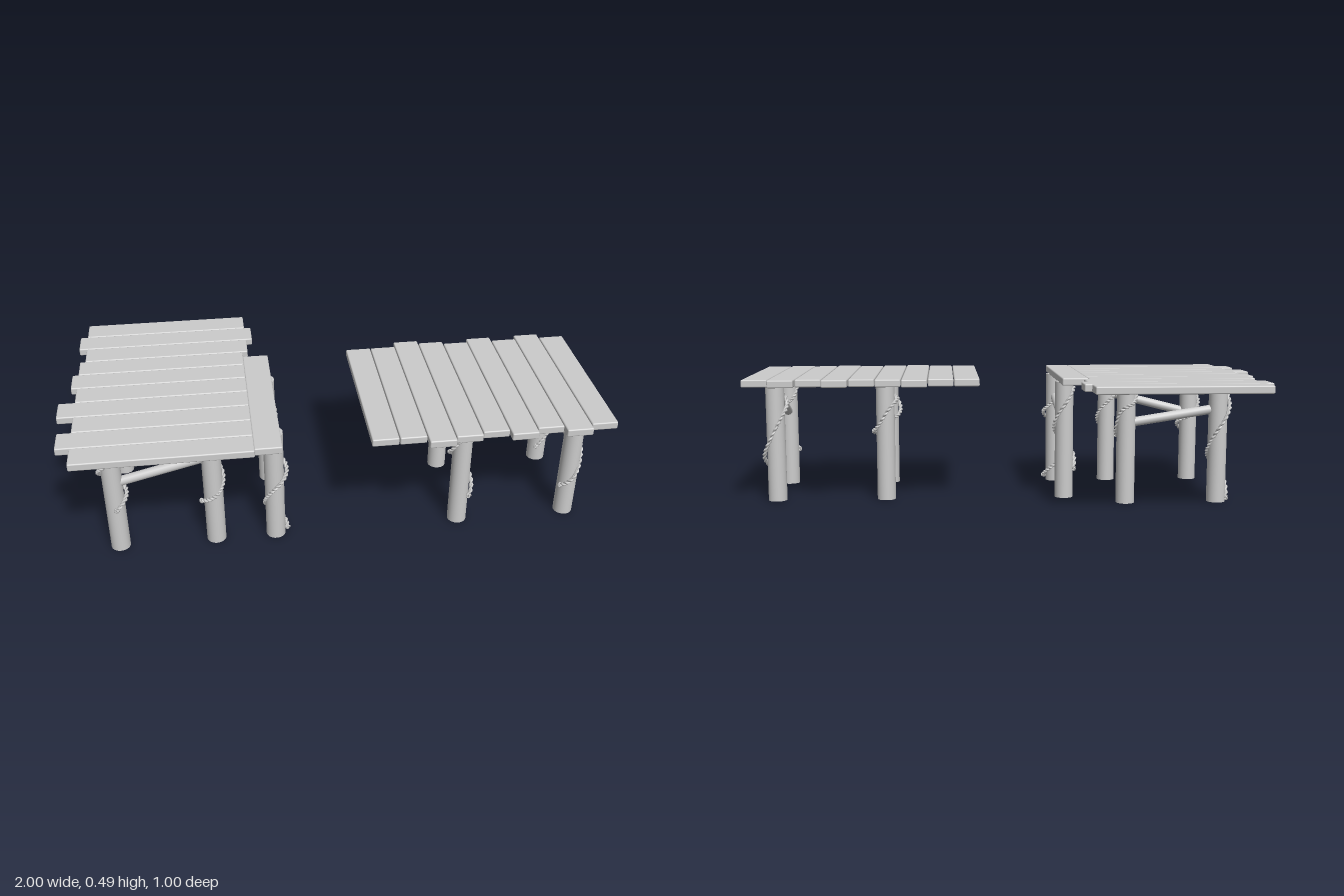
import * as THREE from 'three';
import { RoundedBoxGeometry } from 'three/addons/geometries/RoundedBoxGeometry.js';

const material = new THREE.MeshStandardMaterial({ color: 0xcccccc, roughness: 0.9 });
const DECK_BOTTOM = 0.457, DECK_TOP = 0.486, LEG_RADIUS = 0.036;

function add(parent, name, geometry) {
  const mesh = new THREE.Mesh(geometry, material);
  mesh.name = name;
  parent.add(mesh);
  return mesh;
}

// Softly rounded board covering x0..x1 by z0..z1
function plank(parent, x0, x1, z0, z1) {
  const h = DECK_TOP - DECK_BOTTOM;
  add(parent, 'plank', new RoundedBoxGeometry(x1 - x0, h, z1 - z0, 2, 0.005))
    .position.set((x0 + x1) / 2, DECK_BOTTOM + h / 2, (z0 + z1) / 2);
}

function leg(parent, x, z) {
  const h = DECK_BOTTOM + 0.004;
  add(parent, 'leg', new THREE.CylinderGeometry(LEG_RADIUS, LEG_RADIUS, h, 28)).position.set(x, h / 2, z);
}

// Round pole between two points
function brace(parent, from, to) {
  const a = new THREE.Vector3(...from), b = new THREE.Vector3(...to);
  const mesh = add(parent, 'brace', new THREE.CylinderGeometry(0.018, 0.018, a.distanceTo(b), 16));
  mesh.position.copy(a).add(b).multiplyScalar(0.5);
  mesh.quaternion.setFromUnitVectors(new THREE.Vector3(0, 1, 0), b.sub(a).normalize());
}

// Vine of two twisted strands winding down a leg, from (deg0, y0) to (deg1, y1)
function vine(parent, x, z, deg0, y0, deg1, y1) {
  const group = new THREE.Group();
  group.name = 'vine';
  const centre = t => {
    const a = THREE.MathUtils.degToRad(deg0 + (deg1 - deg0) * t);
    const r = 0.042 + 0.005 * Math.sin(t * 11 + deg0);
    const y = y0 + (y1 - y0) * t + 0.012 * Math.sin(t * 9 + deg1);
    return { a, r, y };
  };
  const twists = Math.round((deg1 - deg0) / 32);
  for (const phase of [0, Math.PI]) {
    const points = [];
    const n = twists * 5;
    for (let i = 0; i <= n; i++) {
      const t = i / n, { a, r, y } = centre(t);
      const w = phase + t * twists * Math.PI * 2;
      const radius = r + 0.0042 * Math.cos(w);
      points.push(new THREE.Vector3(
        x + radius * Math.cos(a), Math.max(0.008, y + 0.0042 * Math.sin(w)), z + radius * Math.sin(a)));
    }
    add(group, 'strand', new THREE.TubeGeometry(new THREE.CatmullRomCurve3(points), n * 2, 0.0048, 6));
  }
  // small knot at the lower end
  const end = centre(1);
  const knot = add(group, 'vineKnot', new THREE.TorusKnotGeometry(0.006, 0.003, 32, 5));
  knot.position.set(x + end.r * Math.cos(end.a), Math.max(0.012, end.y), z + end.r * Math.sin(end.a));
  parent.add(group);
}

export function createModel() {
  const model = new THREE.Group();
  const rightTable = new THREE.Group(), leftTable = new THREE.Group();
  leftTable.name = 'plankTable';
  rightTable.name = 'cornerTable';
  model.add(leftTable, rightTable);

  // Deck with boards running front to back; some overhang at both ends
  [0, 0, 0.035, 0.016, 0, 0.026, 0, 0.028, 0].forEach((over, i) => {
    const x = 0.106 + i * 0.0993;
    plank(leftTable, x, x + 0.0965, -0.172 - over, 0.465 + over);
  });

  // Deck with boards running sideways: start and end in x of each
  [[-0.922, -0.286], [-0.95, -0.26], [-0.92, -0.284], [-0.94, -0.305], [-0.962, -0.305],
    [-0.94, -0.305], [-1, -0.305], [-0.94, -0.305], [-0.99, -0.305], [-0.94, -0.305]]
    .forEach(([x0, x1], i) => {
      const z = -0.503 + i * 0.098;
      plank(rightTable, x0, x1, z, z + 0.0965);
    });
  plank(rightTable, -0.307, -0.208, -0.172, 0.465); // edge board across the ends

  // Legs, each with its vine: x, z, then start angle, height, end angle, height
  const front = 0.333, back = -0.027;
  [[0.895, front, 180, 0.43, 500, 0.14], [0.895, back, 120, 0.43, 470, 0.06],
    [0.47, front, 60, 0.43, 410, 0.14], [0.47, back, 150, 0.42, 420, 0.23]]
    .forEach(([x, z, ...wind]) => {
      leg(leftTable, x, z);
      vine(leftTable, x, z, ...wind);
    });
  [[-0.232, front, 180, 0.43, 720, 0.02], [-0.232, back, 200, 0.43, 560, 0.12],
    [-0.457, front, 110, 0.43, 520, 0.18], [-0.457, -0.15, 180, 0.44, 450, 0.24],
    [-0.815, front, 30, 0.43, 440, 0.19], [-0.815, -0.15, 150, 0.42, 560, 0.02]]
    .forEach(([x, z, ...wind]) => {
      leg(rightTable, x, z);
      vine(rightTable, x, z, ...wind);
    });

  // Slanting poles between neighbouring legs
  brace(leftTable, [0.895, 0.3, front], [0.895, 0.445, back]);
  brace(leftTable, [0.47, 0.36, front], [0.47, 0.325, back]);
  brace(rightTable, [-0.232, 0.37, front], [-0.232, 0.295, back]);
  brace(rightTable, [-0.815, 0.29, front], [-0.457, 0.38, front]);
  brace(rightTable, [-0.815, 0.365, -0.15], [-0.457, 0.31, -0.15]);

  return model;
}
